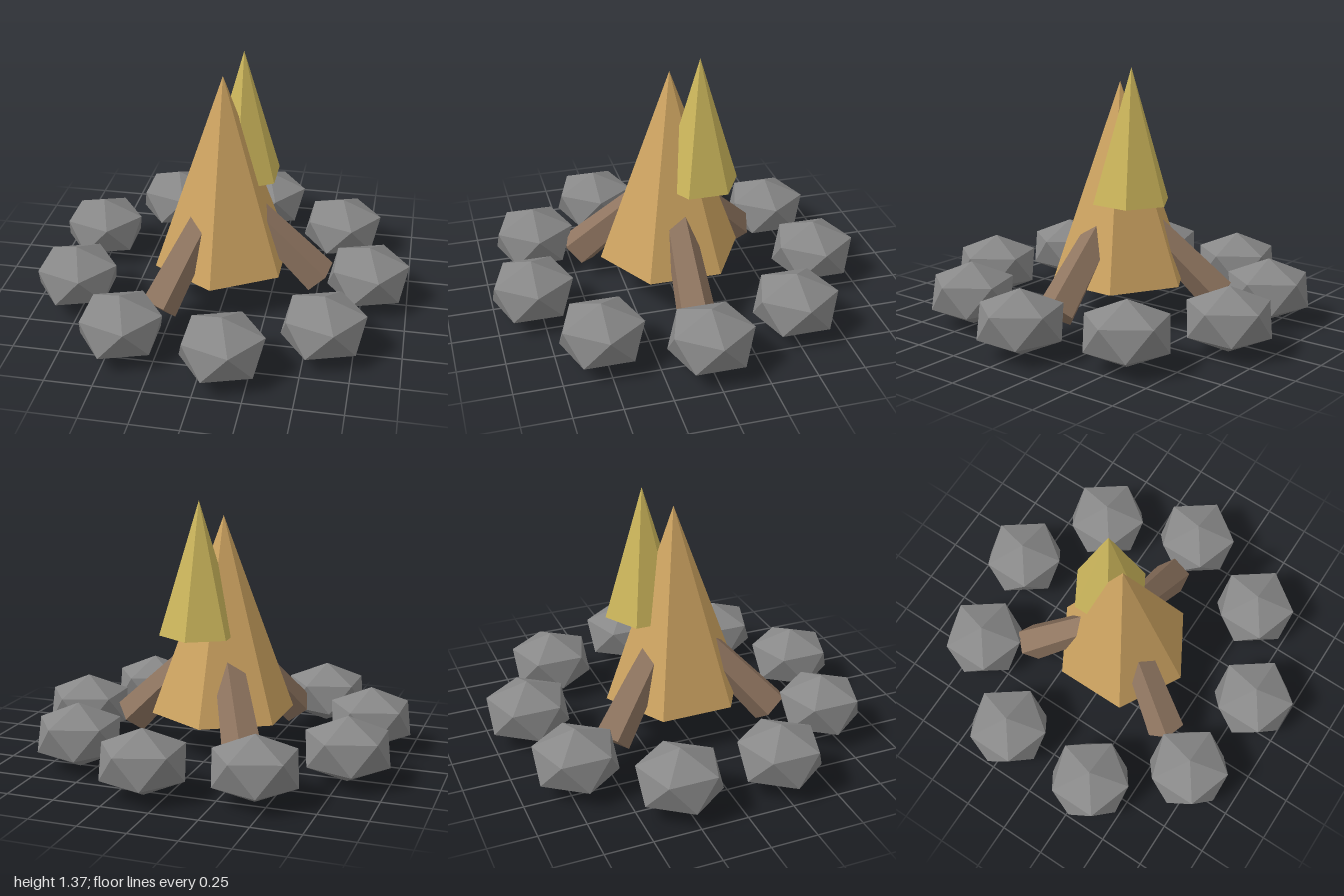
import * as THREE from 'three';

const mat = (name, color) => {
  const m = new THREE.MeshStandardMaterial({ color });
  m.name = name;
  m.flatShading = true;
  return m;
};

// Pointed-top icosahedron: two poles and two staggered rings of five
function stoneGeometry(radius, squash) {
  const ring = radius * 2 / Math.sqrt(5);
  const level = radius * squash / Math.sqrt(5);
  const pole = (s) => new THREE.Vector3(0, s * radius * squash, 0);
  const point = (i, upper) => {
    const a = (i + (upper ? 0 : 0.5)) * Math.PI * 2 / 5;
    return new THREE.Vector3(Math.cos(a) * ring, upper ? level : -level, Math.sin(a) * ring);
  };
  const pts = [];
  for (let i = 0; i < 5; i++) {
    const u0 = point(i, true), u1 = point(i + 1, true);
    const l0 = point(i, false), l1 = point(i + 1, false);
    pts.push(pole(1), u1, u0, u0, u1, l0, l0, u1, l1, pole(-1), l0, l1);
  }
  const g = new THREE.BufferGeometry().setFromPoints(pts);
  g.computeVertexNormals();
  return g;
}

export function createModel() {
  const root = new THREE.Group();
  root.name = 'campfire';
  const fire = new THREE.Group();
  fire.name = 'fire';
  fire.position.x = -0.025;
  root.add(fire);

  const flame = mat('amber flame', 0xcfa562);
  const flameTip = mat('yellow flame', 0xcdb75c);
  const wood = mat('brown wood', 0x8f7560);
  const rock = mat('grey stone', 0x888888);

  const add = (parent, name, geometry, material, x, y, z) => {
    const m = new THREE.Mesh(geometry, material);
    m.name = name;
    m.position.set(x, y, z);
    parent.add(m);
    return m;
  };

  // Flames: two six-sided cones
  add(fire, 'mainFlame', new THREE.ConeGeometry(0.39, 1.06, 6), flame, 0, 0.76, 0);
  add(fire, 'smallFlame', new THREE.ConeGeometry(0.214, 0.705, 6), flameTip, 0.087, 1.0275, -0.14);

  // Three tapered five-sided logs leaning inward at 45 degrees
  const length = 0.6;
  const half = length / 2 * Math.SQRT1_2;
  for (let i = 0; i < 3; i++) {
    const g = new THREE.CylinderGeometry(0.077, 0.107, length, 5);
    if (i === 0) g.rotateY(Math.PI);
    const arm = new THREE.Group();
    arm.name = 'log' + (i + 1);
    arm.rotation.y = -i * Math.PI * 2 / 3;
    fire.add(arm);
    add(arm, 'logWood', g, wood, 0.535 - half, 0.143 + half, 0).rotation.z = Math.PI / 4;
  }

  // Ring of nine stones, all facing the same way
  const stone = stoneGeometry(0.246, 0.7);
  for (let i = 0; i < 9; i++) {
    const a = i * Math.PI * 2 / 9;
    add(fire, 'stone' + (i + 1), stone, rock, Math.cos(a) * 0.805, 0.1785, Math.sin(a) * 0.805);
  }
  return root;
}
